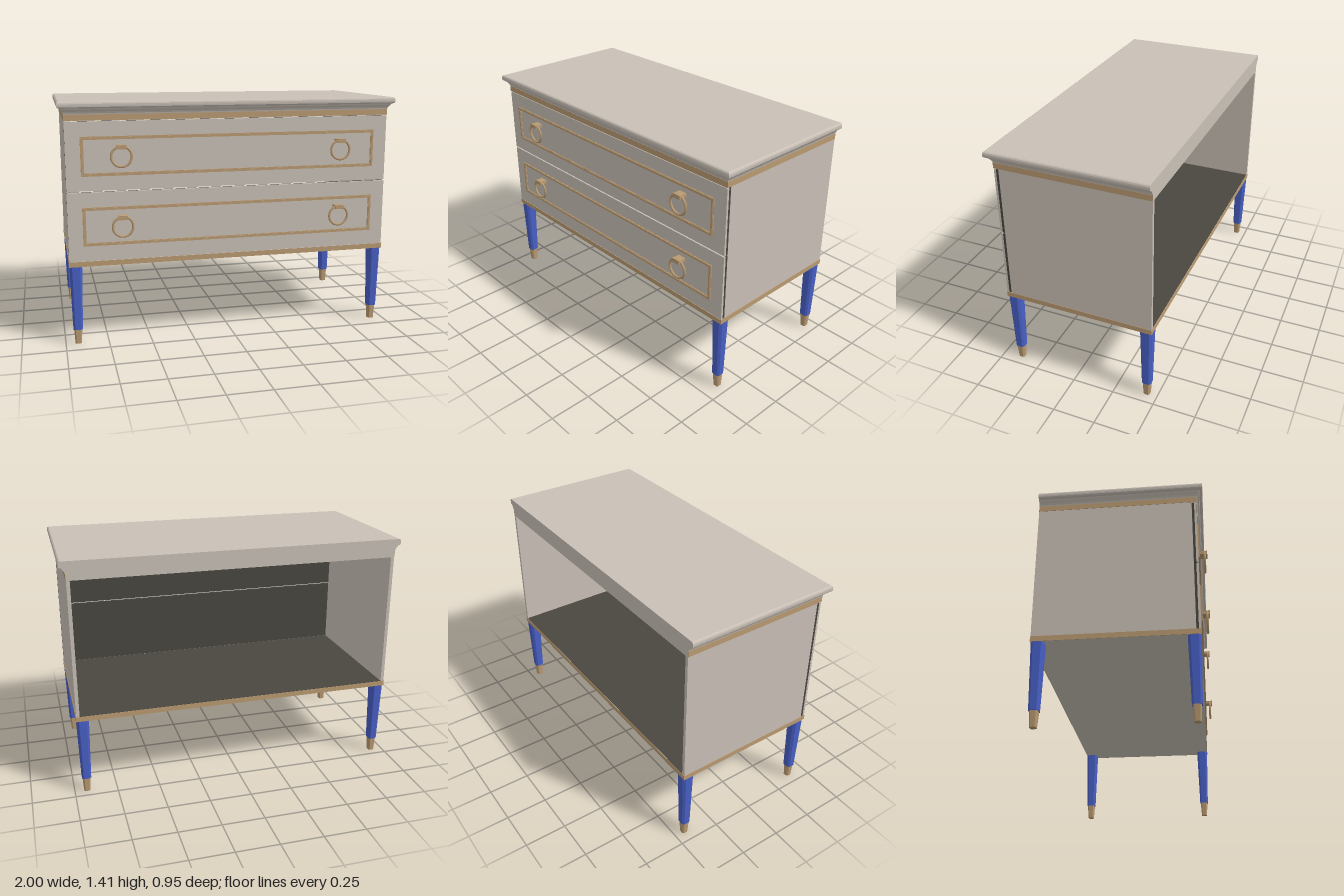
import * as THREE from 'three';

const mat = (name, color) => new THREE.MeshStandardMaterial({ name, color });

// Skin between closed rings of [x, y, z] (counterclockwise from above, bottom to top), with caps
function loft(rings) {
  const pos = [];
  const tri = (a, b, c) => pos.push(...a, ...b, ...c);
  const n = rings[0].length;
  for (let r = 0; r < rings.length - 1; r++) {
    for (let i = 0; i < n; i++) {
      const j = (i + 1) % n, lo = rings[r], hi = rings[r + 1];
      tri(lo[i], lo[j], hi[j]);
      tri(lo[i], hi[j], hi[i]);
    }
  }
  const bottom = rings[0], top = rings[rings.length - 1];
  for (let i = 1; i < n - 1; i++) {
    tri(top[0], top[i], top[i + 1]);
    tri(bottom[0], bottom[i + 1], bottom[i]);
  }
  const g = new THREE.BufferGeometry();
  g.setAttribute('position', new THREE.Float32BufferAttribute(pos, 3));
  g.computeVertexNormals();
  return g;
}

// Square ring with chamfered corners, half width h
function chamferedRing(h, y) {
  const k = h * 0.62;
  return [[h, -k], [k, -h], [-k, -h], [-h, -k], [-h, k], [-k, h], [k, h], [h, k]]
    .map(([x, z]) => [x, y, z]);
}

export function createModel() {
  const paint = mat('warm grey paint', 0xc9c0b6);
  const gold = mat('antique gold', 0xba9b72);
  const blue = mat('blue leg paint', 0x4860c6);
  const dark = mat('dark interior', 0x4a4741);

  const model = new THREE.Group();
  model.name = 'chestOfDrawers';
  const add = (name, geometry, material, parent = model) => {
    const m = new THREE.Mesh(geometry, material);
    m.name = name;
    parent.add(m);
    return m;
  };
  // Box given by its limits
  const box = (name, material, x0, x1, y0, y1, z0, z1, parent) => {
    const m = add(name, new THREE.BoxGeometry(x1 - x0, y1 - y0, z1 - z0), material, parent);
    m.position.set((x0 + x1) / 2, (y0 + y1) / 2, (z0 + z1) / 2);
    return m;
  };

  const W = 0.963, F = 0.423, B = -0.472;

  // Carcass, open at the back
  box('bottomPanel', paint, -W, W, 0.47, 0.498, B, F);
  box('cabinetFloor', dark, -W + 0.02, W - 0.02, 0.498, 0.501, B + 0.002, 0.396);
  box('topPanel', paint, -W, W, 1.303, 1.336, B, F);
  for (const s of [-1, 1]) {
    const x = s * (W - 0.01);
    box(s > 0 ? 'leftSide' : 'rightSide', paint, x - 0.01, x + 0.01, 0.498, 1.303, B, 0.396);
  }

  // Gold bands: the lower one goes all round, the upper one skips the back
  const t = 0.002;
  for (const [name, y0, y1] of [['lowerBand', 0.47, 0.5], ['upperBand', 1.305, 1.338]]) {
    const band = new THREE.Group();
    band.name = name;
    model.add(band);
    box('bandFront', gold, -W - t, W + t, y0, y1, F, F + t, band);
    for (const s of [-1, 1]) {
      const x = s * (W + t / 2);
      box('bandSide', gold, x - t / 2, x + t / 2, y0, y1, B, F, band);
    }
    if (name === 'lowerBand') box('bandBack', gold, -W - t, W + t, y0, y1, B - t, B, band);
  }

  // Moulded top: cove, step and rounded edge, flush at the back
  const profile = [
    [0, 1.334], [0.003, 1.345], [0.008, 1.355], [0.016, 1.365], [0.02, 1.373],
    [0.031, 1.375], [0.036, 1.381], [0.037, 1.388], [0.037, 1.398], [0.034, 1.406], [0.027, 1.411],
  ];
  add('top', loft(profile.map(([o, y]) => [
    [-W - o, y, B], [-W - o, y, F + o], [W + o, y, F + o], [W + o, y, B],
  ])), paint);

  // Drawers with moulded frame and ring pulls
  for (const [name, y0, y1, frameY] of [['lowerDrawer', 0.501, 0.9, 0.702], ['upperDrawer', 0.908, 1.3, 1.104]]) {
    const drawer = new THREE.Group();
    drawer.name = name;
    model.add(drawer);
    box('drawerFront', paint, -W, W, y0, y1, 0.41, F, drawer);
    box('drawerBacking', dark, -W, W, y0, y1, 0.397, 0.41, drawer);

    const rect = (path, w, h) => path.moveTo(-w, -h).lineTo(w, -h).lineTo(w, h).lineTo(-w, h).closePath();
    const frameRing = (w, h, width, depth) => {
      const shape = rectShape(w, h);
      const hole = new THREE.Path();
      rectInto(hole, w - width, h - width);
      shape.holes.push(hole);
      return new THREE.ExtrudeGeometry(shape, { depth, bevelEnabled: false });
    };
    // Low base with a raised outer bead
    add('frameBase', frameRing(0.88, 0.112, 0.018, 0.005), gold, drawer).position.set(0, frameY, F);
    add('frameBead', frameRing(0.877, 0.109, 0.011, 0.009), gold, drawer).position.set(0, frameY, F);

    for (const s of [-1, 1]) {
      const pull = new THREE.Group();
      pull.name = s > 0 ? 'leftPull' : 'rightPull';
      pull.position.set(s * 0.655, frameY, 0);
      drawer.add(pull);
      add('ring', new THREE.TorusGeometry(0.058, 0.007, 8, 40), gold, pull).position.z = 0.458;
      box('pullMount', gold, -0.025, 0.025, 0.043, 0.063, F, 0.47, pull);
      box('pullCap', gold, -0.027, 0.027, 0.041, 0.065, 0.466, 0.474, pull);
    }
  }

  // Tapered chamfered legs with gold feet
  const legGeo = loft([chamferedRing(0.027, 0.088), chamferedRing(0.036, 0.47)]);
  const footGeo = loft([chamferedRing(0.018, 0), chamferedRing(0.0235, 0.088)]);
  for (const x of [-1, 1]) {
    for (const z of [F - 0.036, B + 0.036]) {
      const leg = new THREE.Group();
      leg.name = (z > 0 ? 'front' : 'back') + (x > 0 ? 'Left' : 'Right') + 'Leg';
      leg.position.set(x * (W - 0.036), 0, z);
      model.add(leg);
      add('legShaft', legGeo, blue, leg);
      add('foot', footGeo, gold, leg);
    }
  }
  return model;
}

// Rectangle outlines centred on the origin
function rectInto(path, w, h) {
  path.moveTo(-w, -h);
  path.lineTo(w, -h);
  path.lineTo(w, h);
  path.lineTo(-w, h);
  path.closePath();
}
function rectShape(w, h) {
  const s = new THREE.Shape();
  rectInto(s, w, h);
  return s;
}
